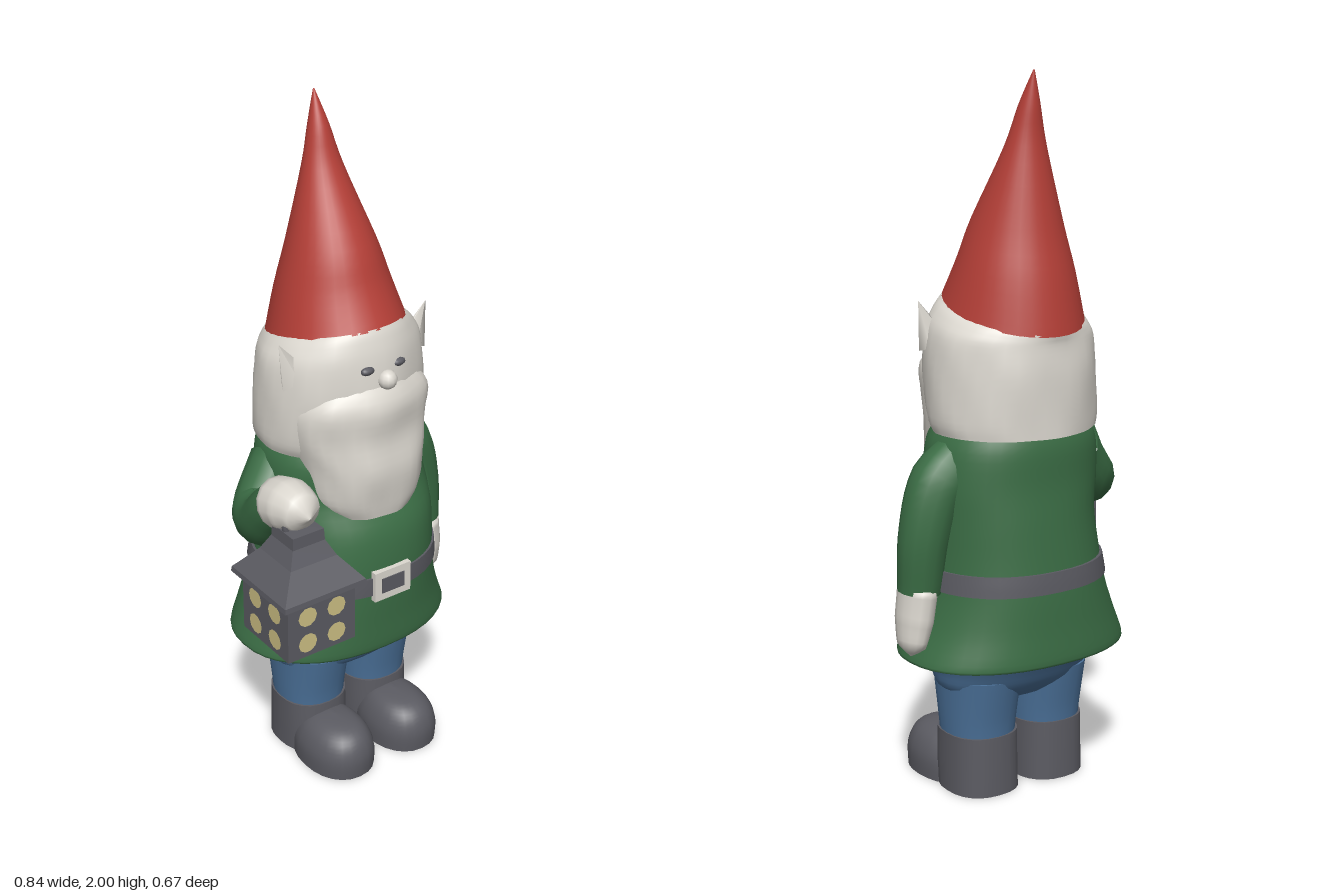
import * as THREE from 'three';

const mat = (name, color) => {
  const m = new THREE.MeshStandardMaterial({ color });
  m.name = name;
  return m;
};

const catmull = (a, b, c, d, t) =>
  0.5 * (2 * b + (c - a) * t + (2 * a - 5 * b + 4 * c - d) * t * t + (3 * b - a - 3 * c + d) * t * t * t);

// Smooth skin through oval rings [y, centreX, centreZ, radiusX, radiusZ, tilt]
function loft(keys, { sides = 32, steps = 4, power = 2, lump = 0, caps = true } = {}) {
  const rings = [];
  const last = keys.length - 1;
  for (let i = 0; i < last; i++) {
    for (let s = 0; s < steps; s++) {
      const [a, b, c, d] = [Math.max(i - 1, 0), i, i + 1, Math.min(i + 2, last)].map(k => keys[k]);
      rings.push([0, 1, 2, 3, 4, 5].map(n => catmull(a[n] ?? 0, b[n] ?? 0, c[n] ?? 0, d[n] ?? 0, s / steps)));
    }
  }
  rings.push(keys[last]);
  const pos = [], idx = [];
  const addRing = ([y, cx, cz, rx, rz, tilt = 0]) => {
    for (let j = 0; j < sides; j++) {
      const t = (j / sides) * Math.PI * 2;
      const c = Math.cos(t), s = Math.sin(t);
      const k = 1 + lump * (Math.sin(7 * t + 13 * y) + Math.sin(11 * t - 31 * y) * 0.7);
      const x = Math.sign(c) * Math.abs(c) ** (2 / power) * rx * k;
      const z = Math.sign(s) * Math.abs(s) ** (2 / power) * rz * k;
      pos.push(cx + x, y + tilt * z, cz + z);
    }
  };
  rings.forEach(addRing);
  for (let i = 0; i < rings.length - 1; i++) {
    for (let j = 0; j < sides; j++) {
      const a = i * sides + j, b = i * sides + (j + 1) % sides;
      idx.push(a, a + sides, b, b, a + sides, b + sides);
    }
  }
  // Flat end caps with their own corners, so the rim stays sharp
  if (caps) [rings[0], rings[rings.length - 1]].forEach((r, end) => {
    const base = pos.length / 3;
    addRing(r);
    pos.push(r[1], r[0], r[2]);
    for (let j = 0; j < sides; j++) {
      const p = base + j, q = base + (j + 1) % sides;
      idx.push(base + sides, end ? q : p, end ? p : q);
    }
  });
  const g = new THREE.BufferGeometry();
  g.setAttribute('position', new THREE.Float32BufferAttribute(pos, 3));
  g.setIndex(idx);
  g.computeVertexNormals();
  return g;
}

// Tube along points [x, y, z, radius], optionally flattened in x
function limb(points, flatX = 1) {
  const curve = new THREE.CatmullRomCurve3(points.map(p => new THREE.Vector3(p[0], p[1], p[2])));
  const segs = 16, sides = 14, n = points.length - 1;
  const g = new THREE.TubeGeometry(curve, segs, 1, sides);
  const p = g.attributes.position, v = new THREE.Vector3();
  for (let i = 0; i < p.count; i++) {
    const u = Math.floor(i / (sides + 1)) / segs;
    const c = curve.getPointAt(u);
    const t = curve.getUtoTmapping(u) * n, k = Math.min(Math.floor(t), n - 1);
    const r = THREE.MathUtils.lerp(points[k][3], points[k + 1][3], t - k);
    v.fromBufferAttribute(p, i).sub(c).multiplyScalar(r);
    v.x *= flatX;
    v.add(c);
    p.setXYZ(i, v.x, v.y, v.z);
  }
  g.computeVertexNormals();
  return g;
}

export function createModel() {
  const red = mat('hatRed', 0xb53f37);
  const green = mat('coatGreen', 0x3b6d45);
  const white = mat('paleStone', 0xdcd8d0);
  const blue = mat('trouserBlue', 0x4b7199);
  const grey = mat('darkGrey', 0x5b5b62);
  const yellow = mat('windowYellow', 0xcdbf84);

  const model = new THREE.Group();
  const add = (name, geo, material, x = 0, y = 0, z = 0, parent = model) => {
    const m = new THREE.Mesh(geo, material);
    m.name = name;
    m.position.set(x, y, z);
    parent.add(m);
    return m;
  };
  const mid = 0.045;

  // Pointed hat leaning back
  add('hat', loft([
    [1.36, mid, -0.095, 0.19, 0.207, 0.244], [1.48, mid, -0.108, 0.158, 0.168, 0.15],
    [1.6, mid, -0.115, 0.122, 0.13, 0.08], [1.8, mid, -0.152, 0.058, 0.055],
    [1.91, mid, -0.17, 0.029, 0.03], [2.0, mid, -0.19, 0.002, 0.002],
  ]), red);

  // Head with hair, and the beard over it
  add('head', loft([
    [1.035, mid, -0.1, 0.235, 0.203], [1.08, mid, -0.09, 0.245, 0.213], [1.2, mid, -0.08, 0.245, 0.224],
    [1.3, mid, -0.08, 0.235, 0.217, 0.1], [1.345, mid, -0.088, 0.21, 0.21, 0.2],
    [1.365, mid, -0.095, 0.188, 0.205, 0.244],
  ], { sides: 40, lump: 0.008 }), white);
  add('beard', loft([
    [0.85, 0.055, 0.035, 0.135, 0.12], [0.9, 0.055, 0.015, 0.175, 0.15], [1.0, 0.05, 0, 0.19, 0.178],
    [1.1, mid, -0.02, 0.215, 0.184], [1.2, mid, -0.03, 0.215, 0.2], [1.27, mid, -0.03, 0.15, 0.165],
  ], { sides: 40, power: 2.2, lump: 0.013 }), white);
  add('nose', new THREE.SphereGeometry(0.028, 12, 8), white, 0.05, 1.275, 0.145);

  // Eyes and ears
  for (const s of [-1, 1]) {
    add('eye', new THREE.SphereGeometry(1, 10, 6), grey, mid + s * 0.052, 1.31, 0.132).scale.set(0.022, 0.012, 0.012);
    const ear = add('ear', new THREE.ConeGeometry(0.05, 0.13, 5), white, mid + s * 0.222, 1.33, -0.005);
    ear.scale.z = 0.6;
    ear.rotation.z = -s * 0.4;
  }

  // Coat with a hollow flared skirt
  add('coat', loft([
    [0.46, mid, -0.085, 0.29, 0.21], [0.415, mid, -0.085, 0.32, 0.235], [0.412, mid, -0.085, 0.335, 0.25],
    [0.5, mid, -0.08, 0.3, 0.25], [0.6, 0.05, -0.075, 0.27, 0.25], [0.7, 0.055, -0.07, 0.257, 0.245],
    [0.8, 0.06, -0.073, 0.25, 0.232], [0.9, 0.055, -0.092, 0.25, 0.203], [1.0, 0.05, -0.093, 0.24, 0.2],
    [1.06, 0.05, -0.093, 0.21, 0.185],
  ], { sides: 40, power: 2.25 }), green);

  // Belt and buckle
  add('belt', loft([
    [0.613, 0.051, -0.0745, 0.274, 0.257], [0.642, 0.052, -0.073, 0.27, 0.256], [0.67, 0.053, -0.0715, 0.266, 0.254],
  ], { sides: 40, power: 2.25 }), grey);
  add('buckle', new THREE.BoxGeometry(0.125, 0.095, 0.02), white, 0.047, 0.644, 0.179);
  add('buckleCentre', new THREE.BoxGeometry(0.078, 0.048, 0.006), grey, 0.047, 0.644, 0.189);

  // Hanging arm
  add('leftSleeve', limb([
    [0.18, 1.0, -0.1, 0.07], [0.29, 0.91, -0.1, 0.082], [0.34, 0.77, -0.1, 0.072], [0.352, 0.61, -0.09, 0.062],
  ]), green);
  add('leftHand', limb([
    [0.355, 0.66, -0.09, 0.01], [0.358, 0.62, -0.09, 0.069], [0.37, 0.53, -0.09, 0.066],
    [0.382, 0.46, -0.095, 0.05], [0.385, 0.43, -0.095, 0.002],
  ], 0.72), white);

  // Raised arm holding the lantern
  add('rightSleeve', limb([
    [-0.12, 0.95, -0.13, 0.09], [-0.22, 0.85, -0.08, 0.085], [-0.262, 0.87, 0.0, 0.076],
    [-0.28, 0.95, 0.08, 0.073], [-0.285, 0.99, 0.125, 0.068],
  ]), green);
  add('rightHand', limb([
    [-0.285, 0.965, 0.09, 0.01], [-0.285, 0.985, 0.11, 0.074], [-0.285, 1.005, 0.17, 0.074],
    [-0.285, 1.01, 0.225, 0.056], [-0.285, 1.005, 0.26, 0.002],
  ]), white);

  // Lantern with four windows on every side
  const lantern = new THREE.Group();
  lantern.name = 'lantern';
  lantern.position.set(-0.288, 0, 0.205);
  model.add(lantern);
  add('lanternBody', new THREE.BoxGeometry(0.22, 0.185, 0.22), grey, 0, 0.71, 0, lantern);
  const roofProfile = [[0, 0.797], [0.133, 0.797], [0.131, 0.812], [0.075, 0.88], [0.052, 0.925], [0.05, 0.96], [0, 0.962]];
  const roof = new THREE.LatheGeometry(
    roofProfile.map(([r, y]) => new THREE.Vector2(r * Math.SQRT2, y)), 4, Math.PI / 4).toNonIndexed();
  roof.computeVertexNormals();
  add('lanternRoof', roof, grey, 0, 0, 0, lantern);
  add('lanternRing', new THREE.TorusGeometry(0.04, 0.011, 8, 16), grey, 0, 0.97, 0, lantern);
  for (let f = 0; f < 4; f++) {
    const face = new THREE.Group();
    face.name = 'lanternWindows';
    face.rotation.y = f * Math.PI / 2;
    lantern.add(face);
    for (const x of [-0.047, 0.047]) for (const y of [0.662, 0.746])
      add('window', new THREE.CircleGeometry(0.03, 10), yellow, x, y, 0.112, face);
  }

  // Trousers: hips, then mirrored legs and boots
  add('hips', loft([
    [0.27, mid, -0.08, 0.17, 0.09], [0.31, mid, -0.08, 0.226, 0.137], [0.36, mid, -0.082, 0.242, 0.166],
    [0.42, mid, -0.08, 0.262, 0.2], [0.47, mid, -0.08, 0.265, 0.205],
  ], { power: 2.2 }), blue);
  for (const s of [-1, 1]) {
    const x = mid + s * 0.112;
    add('trouserLeg', loft([
      [0.15, x, -0.08, 0.1, 0.106], [0.22, x, -0.08, 0.105, 0.115], [0.34, x, -0.08, 0.112, 0.14],
    ], { sides: 24, power: 2.2 }), blue);
    add('bootShaft', loft([
      [0, x, -0.085, 0.105, 0.112], [0.08, x, -0.08, 0.105, 0.115], [0.172, x, -0.08, 0.105, 0.112],
    ], { sides: 24, power: 2.4 }), grey);
    add('bootToe', loft([
      [0, x + s * 0.004, 0.06, 0.105, 0.14], [0.06, x + s * 0.004, 0.062, 0.104, 0.14],
      [0.11, x + s * 0.003, 0.065, 0.085, 0.118], [0.138, x, 0.06, 0.052, 0.08], [0.147, x, 0.05, 0.004, 0.01],
    ], { sides: 24, power: 2.2 }), grey);
  }

  return model;
}
